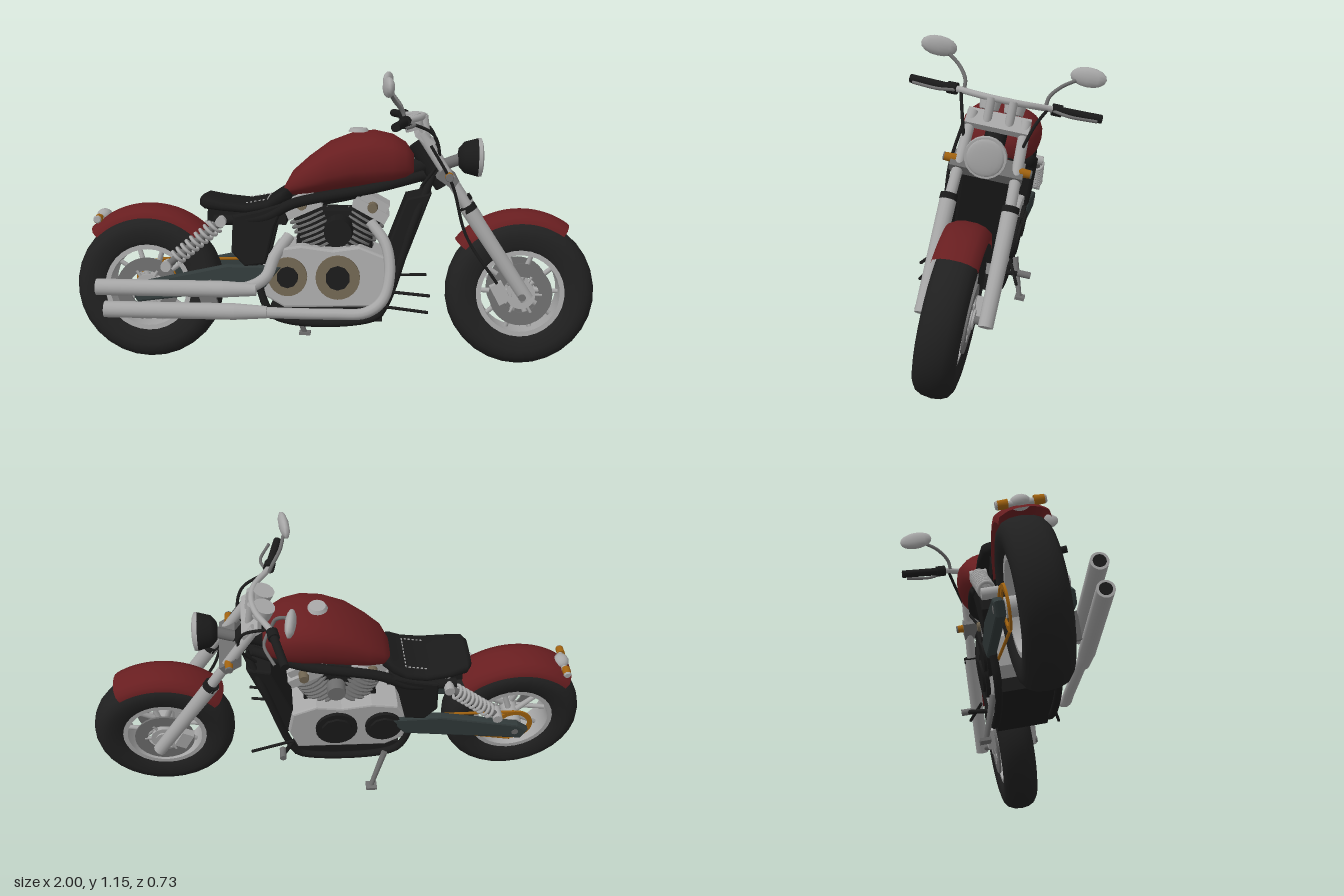
import * as THREE from 'three';

const mat = (name, color, double) => {
  const m = new THREE.MeshStandardMaterial({ color });
  m.name = name;
  if (double) m.side = THREE.DoubleSide;
  return m;
};
const V = (p) => new THREE.Vector3(...p);

export function createModel() {
  const M = {
    red: mat('red paint', 0x681e20, true),
    tire: mat('tire rubber', 0x202020),
    black: mat('black', 0x1a1a1a),
    chrome: mat('chrome', 0xa6a6a6),
    steel: mat('steel', 0x6c6c6c),
    amber: mat('amber', 0xa0620f),
    tan: mat('bronze', 0x6e6350),
    slate: mat('slate', 0x313a3a),
  };
  const bike = new THREE.Group();
  bike.name = 'leaningBike';
  const add = (name, geo, m, p = [0, 0, 0], parent = bike) => {
    const mesh = new THREE.Mesh(geo, m);
    mesh.name = name;
    mesh.position.set(...p);
    parent.add(mesh);
    return mesh;
  };
  // Straight round bar between two points
  const rod = (name, a, b, r, m, r2 = r, sides = 14, parent = bike) => {
    const d = V(b).sub(V(a));
    const mesh = add(name, new THREE.CylinderGeometry(r2, r, d.length(), sides), m,
      V(a).add(V(b)).multiplyScalar(0.5).toArray(), parent);
    mesh.quaternion.setFromUnitVectors(new THREE.Vector3(0, 1, 0), d.normalize());
    return mesh;
  };
  const tube = (name, pts, r, m, seg = 32) =>
    add(name, new THREE.TubeGeometry(new THREE.CatmullRomCurve3(pts.map(V)), seg, r, 10), m);
  const box = (name, size, p, m, rz = 0) => {
    const b = add(name, new THREE.BoxGeometry(...size), m, p);
    b.rotation.z = rz;
    return b;
  };
  // Profile [radius, z] turned around the z axis; angle 0 is up, positive is forward
  const turned = (pts, seg = 32, start = 0, len = Math.PI * 2) =>
    new THREE.LatheGeometry(pts.map(([r, z]) => new THREE.Vector2(r, z)), seg, start, len).rotateX(-Math.PI / 2);
  const ring = (r0, r1, h, seg) =>
    turned([[r0, -h], [r1, -h], [r1, -h], [r1, h], [r1, h], [r0, h], [r0, h], [r0, -h]], seg);
  // Side outline extruded evenly to both sides
  const slab = (name, pts, width, m, z = 0) => {
    const shape = new THREE.Shape(pts.map(([x, y]) => new THREE.Vector2(x, y)));
    return add(name, new THREE.ExtrudeGeometry(shape,
      { depth: width - 0.02, bevelSize: 0.008, bevelThickness: 0.01, bevelSegments: 2 }), m, [0, 0, z - width / 2 + 0.01]);
  };
  // Skin over oval sections [x, bottom, top, halfWidth]
  const loft = (name, sections, m, power = 0.8, n = 24) => {
    const pos = [], idx = [];
    const pw = (v) => Math.sign(v) * Math.abs(v) ** power;
    sections.forEach(([x, b, t, w]) => {
      for (let j = 0; j < n; j++) {
        const a = (j / n) * Math.PI * 2;
        pos.push(x, (b + t) / 2 + ((t - b) / 2) * pw(Math.sin(a)), w * pw(Math.cos(a)));
      }
    });
    const last = sections.length - 1;
    [0, last].forEach((i) => pos.push(sections[i][0], (sections[i][1] + sections[i][2]) / 2, 0));
    const c = n * (last + 1);
    for (let j = 0; j < n; j++) {
      const k = (j + 1) % n;
      for (let i = 0; i < last; i++) {
        const o = i * n, q = o + n;
        idx.push(o + j, q + j, o + k, o + k, q + j, q + k);
      }
      idx.push(c, j, k, c + 1, last * n + k, last * n + j);
    }
    const g = new THREE.BufferGeometry();
    g.setAttribute('position', new THREE.Float32BufferAttribute(pos, 3));
    g.setIndex(idx);
    g.computeVertexNormals();
    return add(name, g, m);
  };

  // Wheels
  const wheel = (name, x, w, discSides) => {
    const g = new THREE.Group();
    g.name = name;
    g.position.set(x, 0.29, 0);
    bike.add(g);
    const half = [[0.165, 0.75], [0.185, 0.92], [0.225, 1], [0.25, 0.93], [0.27, 0.74], [0.281, 0.42]];
    add('tire', turned([...half.map(([r, k]) => [r, -k * w]), [0.285, 0],
      ...[...half].reverse().map(([r, k]) => [r, k * w])], 30), M.tire, [0, 0, 0], g);
    add('rim', ring(0.15, 0.174, w * 0.78), M.chrome, [0, 0, 0], g);
    rod('hub', [0, 0, -w - 0.01], [0, 0, w + 0.01], 0.035, M.chrome, 0.035, 20, g);
    rod('axle', [0, 0, -w - 0.05], [0, 0, w + 0.05], 0.014, M.steel, 0.014, 12, g);
    for (let i = 0; i < 10; i++) {
      const a = (i / 10) * Math.PI * 2, c = Math.cos(a), s = Math.sin(a), z = i % 2 ? 0.02 : -0.02;
      rod('spoke', [c * 0.03, s * 0.03, z], [c * 0.155, s * 0.155, 0], 0.012, M.chrome, 0.009, 8, g);
    }
    discSides.forEach((s) => {
      add('brakeDisc', ring(0.07, 0.12, 0.004), M.steel, [0, 0, s * (w - 0.005)], g);
      add('discCarrier', ring(0.03, 0.055, 0.006), M.chrome, [0, 0, s * (w - 0.003)], g);
      for (let i = 0; i < 6; i++) {
        const a = (i / 6) * Math.PI * 2, c = Math.cos(a), d = Math.sin(a), z = s * (w - 0.004);
        rod('carrierArm', [c * 0.05, d * 0.05, z], [c * 0.08, d * 0.08, z], 0.006, M.chrome, 0.006, 6, g);
      }
    });
  };
  wheel('frontWheel', 0.715, 0.072, [1, -1]);
  wheel('rearWheel', -0.715, 0.084, [1]);

  // Fenders
  const fender = (name, x, w, a0, a1) => {
    const half = [[0.272, 1], [0.296, 0.93], [0.311, 0.6], [0.317, 0.25]];
    add(name, turned([...half.map(([r, k]) => [r, -k * w]),
      ...[...half].reverse().map(([r, k]) => [r, k * w])], 24, a0, a1 - a0), M.red, [x, 0.292, 0]);
  };
  fender('frontFender', 0.715, 0.078, -0.9, 0.6);
  fender('rearFender', -0.715, 0.086, -0.78, 0.8);

  // Tank, cap, seat
  loft('fuelTank', [[-0.19, 0.655, 0.69, 0.06], [-0.16, 0.655, 0.745, 0.098], [-0.1, 0.66, 0.8, 0.122],
    [-0.02, 0.675, 0.86, 0.14], [0.07, 0.69, 0.895, 0.148], [0.15, 0.695, 0.905, 0.148],
    [0.22, 0.705, 0.89, 0.136], [0.27, 0.72, 0.86, 0.113], [0.3, 0.74, 0.82, 0.075]], M.red);
  add('fuelCap', new THREE.CylinderGeometry(0.032, 0.04, 0.014, 20), M.chrome, [0.09, 0.905, 0]);
  loft('seat', [[-0.51, 0.612, 0.645, 0.07], [-0.49, 0.6, 0.655, 0.1], [-0.42, 0.595, 0.64, 0.115],
    [-0.33, 0.59, 0.63, 0.122], [-0.25, 0.6, 0.645, 0.12], [-0.2, 0.62, 0.68, 0.108], [-0.16, 0.64, 0.7, 0.08]], M.black, 0.6);
  box('seatBase', [0.3, 0.05, 0.15], [-0.33, 0.575, 0], M.black, -0.03);
  // Pale stitching around the front of the seat
  const stitch = (x, z, w, d) => {
    const t = (x + 0.33) / 0.08, c = (Math.abs(z) / 0.12) ** (1 / 0.6);
    box('seatStitch', [w, 0.005, d], [x, 0.61 + t * 0.0125 + (0.02 + t * 0.0025) * (1 - c * c) ** 0.3 + 0.001, z], M.chrome, 0.18);
  };
  for (let i = -4; i <= 4; i++) stitch(-0.25, i * 0.019, 0.004, 0.009);
  for (const s of [1, -1]) for (let i = 0; i < 5; i++) stitch(-0.265 - i * 0.016, s * 0.08, 0.008, 0.004);

  // Frame
  tube('backbone', [[-0.42, 0.57, 0], [-0.2, 0.62, 0], [0.1, 0.68, 0], [0.35, 0.78, 0]], 0.035, M.black);
  rod('steeringNeck', [0.31, 0.86, 0], [0.42, 0.7, 0], 0.04, M.black);
  slab('radiator', [[0.28, 0.65], [0.36, 0.67], [0.23, 0.32], [0.16, 0.33]], 0.19, M.black);
  box('engineCradle', [0.43, 0.05, 0.2], [-0.025, 0.207, 0], M.black);
  for (const s of [1, -1]) {
    tube('frameRail', [[0.37, 0.74, s * 0.05], [0.3, 0.56, s * 0.1], [0.2, 0.25, s * 0.11], [0.16, 0.2, s * 0.11],
      [-0.22, 0.2, s * 0.11], [-0.28, 0.32, s * 0.11], [-0.32, 0.56, s * 0.11]], 0.015, M.black, 48);
    tube('upperRail', [[0.34, 0.74, s * 0.05], [0.15, 0.695, s * 0.1], [-0.15, 0.635, s * 0.115],
      [-0.26, 0.58, s * 0.115], [-0.45, 0.565, s * 0.1]], 0.02, M.black);
    slab('sidePanel', [[-0.19, 0.63], [-0.28, 0.6], [-0.37, 0.58], [-0.375, 0.45], [-0.33, 0.4], [-0.26, 0.41], [-0.23, 0.54]], 0.05, M.black, s * 0.105);
    // Swingarm
    slab('swingarm', [[-0.2, 0.39], [-0.26, 0.32], [-0.74, 0.255], [-0.76, 0.29], [-0.72, 0.32], [-0.4, 0.39]], 0.035, M.slate, s * 0.115);
    // Shock absorbers with coil springs
    const top = V([-0.42, 0.565, s * 0.125]), bot = V([-0.63, 0.39, s * 0.125]);
    rod('shockBody', bot.toArray(), top.toArray(), 0.014, M.steel);
    const dir = bot.clone().sub(top), side = new THREE.Vector3(-dir.y, dir.x, 0).normalize();
    const coil = [];
    for (let i = 0; i <= 72; i++) {
      const t = i / 72, a = t * Math.PI * 18;
      coil.push(top.clone().addScaledVector(dir, 0.1 + t * 0.75).addScaledVector(side, Math.cos(a) * 0.027)
        .add(new THREE.Vector3(0, 0, Math.sin(a) * 0.027)).toArray());
    }
    tube('shockSpring', coil, 0.0065, M.chrome, 150);
    for (const p of [top, bot]) rod('shockMount', [p.x, p.y, s * 0.09], [p.x, p.y, s * 0.15], 0.02, M.chrome);
  }

  // Engine
  slab('crankcase', [[-0.25, 0.28], [-0.265, 0.38], [-0.22, 0.45], [-0.12, 0.465], [0.0, 0.45], [0.1, 0.465], [0.19, 0.43],
    [0.205, 0.34], [0.17, 0.25], [-0.18, 0.24]], 0.23, M.chrome);
  slab('engineCore', [[-0.14, 0.44], [-0.12, 0.6], [0.14, 0.6], [0.14, 0.42]], 0.1, M.black);
  for (const s of [1, -1]) {
    for (const [x, r] of [[-0.17, 0.074], [0.02, 0.084]]) {
      rod('coverRing', [x, 0.355, 0], [x, 0.355, s * 0.13], r, s > 0 ? M.tan : M.black, r, 24);
      rod('coverCap', [x, 0.355, 0], [x, 0.355, s * 0.14], r * (s > 0 ? 0.62 : 0.85), M.black, r * (s > 0 ? 0.55 : 0.75), 10);
    }
  }
  for (const [tx, lean] of [[-0.1, 0.42], [0.13, -0.5]]) {
    const bank = new THREE.Group();
    bank.name = 'cylinderBank';
    bank.position.set(tx * 0.45, 0.455, 0);
    bank.rotation.z = lean;
    bike.add(bank);
    add('barrel', new THREE.CylinderGeometry(0.06, 0.06, 0.18, 18), M.black, [0, 0.06, 0], bank);
    for (let i = 0; i < 7; i++)
      add('coolingFin', new THREE.CylinderGeometry(0.08, 0.08, 0.007, 18), M.steel, [0, 0.01 + i * 0.02, 0], bank);
    add('cylinderHead', new THREE.BoxGeometry(0.14, 0.04, 0.16), M.chrome, [0, 0.17, 0], bank);
    add('rockerCover', new THREE.BoxGeometry(0.11, 0.035, 0.13), M.chrome, [0, 0.205, 0], bank);
    for (const s of [1, -1]) rod('headPlug', [0, 0.185, s * 0.06], [0, 0.185, s * 0.1], 0.022, M.tan, 0.018, 14, bank);
  }
  rod('airCleaner', [0.02, 0.53, 0.04], [0.02, 0.53, 0.15], 0.058, M.black, 0.052, 16);
  rod('intakeCover', [0.02, 0.53, -0.04], [0.02, 0.53, -0.1], 0.04, M.steel, 0.036, 16);

  // Exhaust
  tube('frontHeader', [[0.14, 0.56, 0.06], [0.2, 0.48, 0.1], [0.215, 0.37, 0.135], [0.19, 0.28, 0.16], [0.13, 0.235, 0.175],
    [0, 0.228, 0.18], [-0.3, 0.235, 0.2]], 0.021, M.chrome, 48);
  tube('rearHeader', [[-0.17, 0.5, 0.06], [-0.22, 0.43, 0.12], [-0.25, 0.36, 0.165], [-0.31, 0.328, 0.19], [-0.36, 0.325, 0.2]], 0.023, M.chrome);
  for (const [x0, x1, y, z] of [[-0.3, -0.85, 0.238, 0.208], [-0.34, -0.88, 0.322, 0.204]]) {
    rod('mufflerCone', [x0 + 0.06, y, z], [x0 - 0.06, y, z], 0.023, M.chrome, 0.031, 18);
    rod('muffler', [x0 - 0.06, y, z], [x1, y, z], 0.031, M.chrome, 0.031, 18);
    rod('mufflerOutlet', [x1 + 0.01, y, z], [x1 - 0.002, y, z], 0.022, M.black, 0.022, 18);
  }
  box('mufflerBracket', [0.06, 0.1, 0.02], [-0.47, 0.29, 0.165], M.steel, 0.3);

  // Chain drive on the left
  add('sprocket', ring(0.06, 0.08, 0.004, 24), M.amber, [-0.715, 0.29, -0.09]);
  for (const k of [1, -1]) rod('chainRun', [-0.71, 0.29 + k * 0.08, -0.093], [-0.22, 0.345 + k * 0.035, -0.093], 0.006, M.amber, 0.006, 6);

  // Front fork, clamps and calipers; the legs trail slightly to the left
  for (const s of [1, -1]) {
    const z = s * 0.11, zb = z - 0.015;
    rod('forkTube', [0.325, 0.9, z * 0.88], [0.56, 0.545, z - 0.008], 0.02, M.chrome);
    rod('forkSlider', [0.5, 0.63, z - 0.005], [0.735, 0.28, zb], 0.03, M.chrome, 0.026);
    rod('forkSeal', [0.5, 0.635, z - 0.005], [0.512, 0.616, z - 0.005], 0.031, M.black);
    box('brakeCaliper', [0.05, 0.08, 0.035], [0.635, 0.3, s * 0.085], M.chrome, 0.5);
    rod('frontSignalStalk', [0.43, 0.745, s * 0.07], [0.43, 0.745, s * 0.118], 0.009, M.chrome);
    rod('frontSignal', [0.43, 0.745, s * 0.112], [0.43, 0.745, s * 0.156], 0.017, M.amber, 0.015);
    rod('frontSignalCap', [0.43, 0.745, s * 0.154], [0.43, 0.745, s * 0.159], 0.016, M.steel, 0.014);
    // Handlebar controls and mirrors
    rod('grip', [0.26, 0.95, s * 0.2], [0.225, 0.945, s * 0.355], 0.016, M.black);
    rod('switchHousing', [0.265, 0.952, s * 0.175], [0.258, 0.95, s * 0.21], 0.022, M.black);
    tube('lever', [[0.28, 0.95, s * 0.18], [0.295, 0.945, s * 0.24], [0.26, 0.94, s * 0.34]], 0.006, M.steel);
    tube('mirrorStem', [[0.265, 0.955, s * 0.15], [0.25, 0.99, s * 0.155], [0.22, 1.03, s * 0.19], [0.205, 1.06, s * 0.235]], 0.007, M.steel);
    const mirror = add('mirror', new THREE.SphereGeometry(1, 10, 8), M.chrome, [0.2, 1.08, s * 0.277]);
    mirror.scale.set(0.02, 0.037, 0.07);
    mirror.rotation.set(s * -0.05, s * 0.15, 0);
    add('gauge', new THREE.CylinderGeometry(0.042, 0.035, 0.05, 18), M.chrome, [0.295, 0.935, s * 0.045]).rotation.z = 0.3;
    rod('barRiser', [0.35, 0.86, s * 0.04], [0.335, 0.965, s * 0.04], 0.016, M.chrome);
    tube('controlCable', [[0.27, 0.95, s * 0.16], [0.37, 0.9, s * 0.13], [0.39, 0.8, s * 0.1], [0.33, 0.7, s * 0.07]], 0.006, M.black);
    rod('footPedal', [0.2, 0.31, s * 0.14], [0.365, 0.305, s * 0.18], 0.006, M.black);
    rod('rearSignal', [-0.905, 0.555, s * 0.042], [-0.905, 0.555, s * 0.078], 0.017, M.amber, 0.015);
    rod('rearSignalCap', [-0.905, 0.555, s * 0.076], [-0.905, 0.555, s * 0.083], 0.016, M.chrome, 0.012);
  }
  rod('footPegBar', [0.19, 0.27, -0.1], [0.24, 0.3, -0.2], 0.009, M.black);
  rod('footPeg', [0.24, 0.3, -0.17], [0.24, 0.3, -0.22], 0.013, M.steel);
  rod('brakePedal', [0.2, 0.25, 0.14], [0.36, 0.24, 0.175], 0.006, M.black);
  box('lowerClamp', [0.075, 0.04, 0.26], [0.425, 0.735, 0], M.steel, -0.6);
  box('upperClamp', [0.075, 0.025, 0.23], [0.34, 0.88, 0], M.chrome, -0.6);
  tube('brakeHose', [[0.36, 0.86, 0.12], [0.44, 0.72, 0.13], [0.5, 0.52, 0.11], [0.62, 0.34, 0.11]], 0.006, M.black);
  tube('handlebar', [[0.24, 0.948, -0.3], [0.265, 0.952, -0.18], [0.32, 0.96, -0.08], [0.335, 0.962, 0],
    [0.32, 0.96, 0.08], [0.265, 0.952, 0.18], [0.24, 0.948, 0.3]], 0.012, M.chrome);

  // Headlight: black bowl, chrome bezel and shallow lens
  const bowl = add('headlightShell', new THREE.LatheGeometry([[0, -0.08], [0.035, -0.074], [0.06, -0.052], [0.074, 0]]
    .map((p) => new THREE.Vector2(...p)), 20), M.black, [0.545, 0.805, 0]);
  bowl.rotation.z = -Math.PI / 2;
  rod('headlightBezel', [0.543, 0.805, 0], [0.557, 0.805, 0], 0.075, M.chrome, 0.073, 20);
  add('headlightLens', new THREE.SphereGeometry(0.066, 18, 10), M.chrome, [0.557, 0.805, 0]).scale.x = 0.15;
  rod('headlightMount', [0.4, 0.77, 0], [0.48, 0.8, 0], 0.022, M.steel);

  // Tail light
  rod('tailBar', [-0.9, 0.555, -0.05], [-0.9, 0.555, 0.05], 0.012, M.chrome);
  add('tailLight', new THREE.SphereGeometry(1, 14, 10), M.chrome, [-0.895, 0.56, 0]).scale.set(0.03, 0.026, 0.035);

  // Kickstand on the left
  rod('kickstandLeg', [-0.18, 0.2, -0.128], [-0.125, 0.055, -0.18], 0.013, M.steel, 0.01);
  box('kickstandFoot', [0.045, 0.012, 0.04], [-0.125, 0.052, -0.183], M.steel);

  // Whole bike rests tilted on its stand
  bike.rotation.x = -0.19;
  bike.position.set(0, 0.001, 0.18);
  const model = new THREE.Group();
  model.name = 'motorcycle';
  model.add(bike);
  return model;
}
